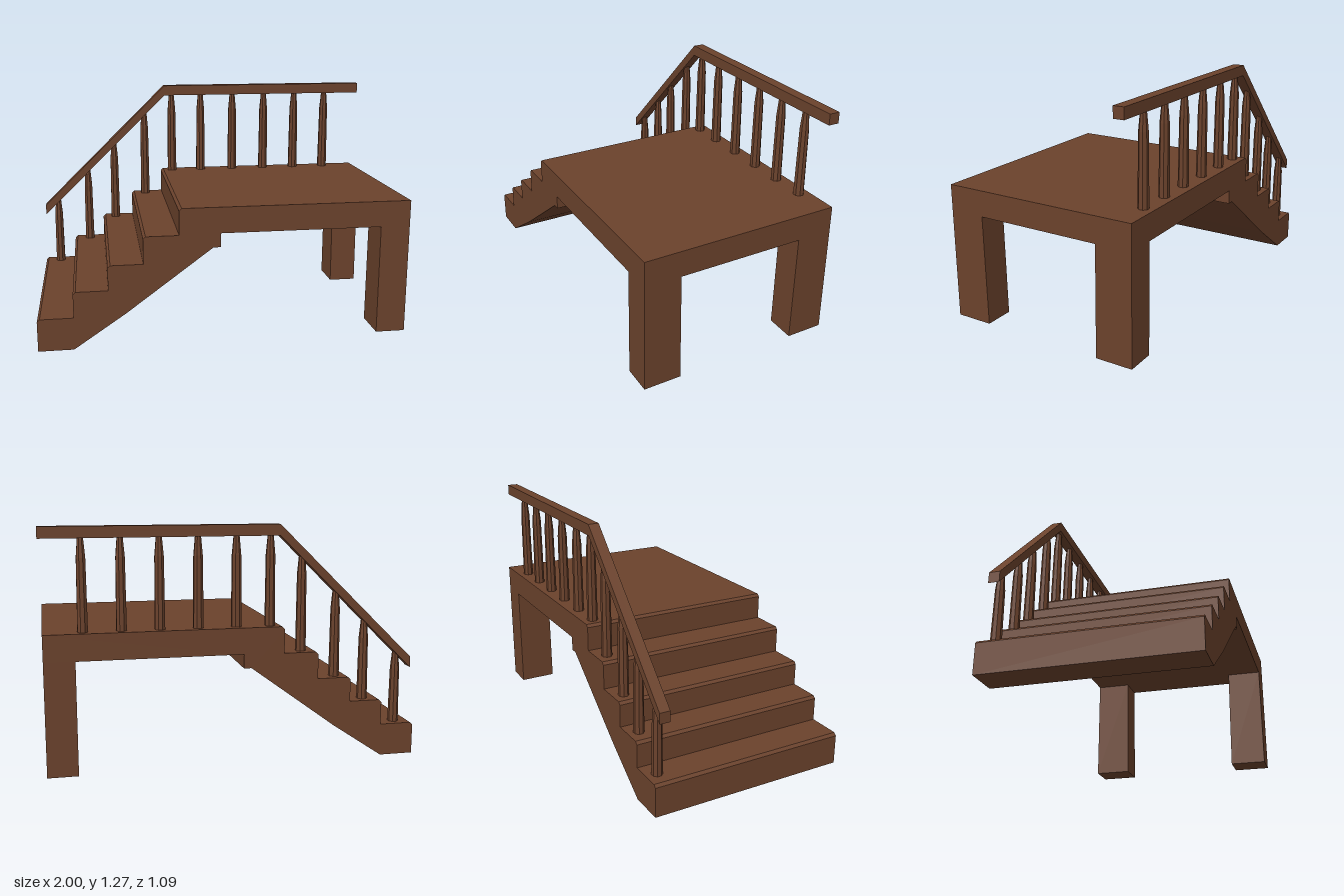
import * as THREE from 'three';

const wood = new THREE.MeshStandardMaterial({ color: 0x6b422c, flatShading: true });
wood.name = 'brown wood';

// Extrude an x-y outline between two z positions
function slab(name, points, z0, z1) {
  const shape = new THREE.Shape(points.map(([x, y]) => new THREE.Vector2(x, y)));
  const geometry = new THREE.ExtrudeGeometry(shape, { depth: z1 - z0, bevelEnabled: false });
  geometry.translate(0, 0, z0);
  const mesh = new THREE.Mesh(geometry, wood);
  mesh.name = name;
  return mesh;
}

export function createModel() {
  const model = new THREE.Group();
  model.name = 'stairPlatform';

  const treads = [0.175, 0.315, 0.45, 0.597, 0.74];
  const risers = [-1, -0.812, -0.63, -0.445, -0.257];
  const bevel = 0.014;

  // Stairs and deck share one outline, with a small chamfer on every nosing
  const outline = [
    [-1, 0], [-0.815, 0], [-0.54, 0.185], [-0.078, 0.525], [-0.038, 0.525],
    [-0.038, 0.6], [0.99, 0.6], [0.99, 0.74],
  ];
  for (let i = 4; i >= 0; i--) {
    outline.push([risers[i] + bevel, treads[i]], [risers[i], treads[i] - bevel]);
    if (i > 0) outline.push([risers[i], treads[i - 1]]);
  }
  model.add(slab('stairsAndDeck', outline, -0.547, 0.547));

  // Two legs under the far end of the deck, slightly wider at the foot
  for (const side of [-1, 1]) {
    const geometry = new THREE.BoxGeometry(0.16, 0.6, 0.2);
    const p = geometry.attributes.position;
    for (let i = 0; i < p.count; i++) {
      if (p.getY(i) < 0 && p.getZ(i) * side < 0) p.setZ(i, p.getZ(i) - side * 0.006);
    }
    const leg = new THREE.Mesh(geometry, wood);
    leg.position.set(0.91, 0.3, side * 0.447);
    leg.name = side > 0 ? 'frontLeg' : 'backLeg';
    model.add(leg);
  }

  // Handrail along the back edge: sloped over the stairs, level over the deck
  model.add(slab('handrail', [
    [-0.985, 0.482], [-0.235, 1.213], [0.998, 1.213],
    [0.998, 1.272], [-0.235, 1.272], [-0.985, 0.54],
  ], -0.517, -0.459));

  // Eight-sided balusters with tapered tops: [x, foot height, top height]
  const balusters = [
    [-0.908, 0.175, 0.575], [-0.719, 0.315, 0.755], [-0.553, 0.45, 0.92], [-0.362, 0.597, 1.11],
    ...[-0.19, -0.008, 0.194, 0.395, 0.592, 0.788].map((x) => [x, 0.74, 1.216]),
  ];
  const railing = new THREE.Group();
  railing.name = 'balusters';
  for (const [x, foot, top] of balusters) {
    const h = top - foot;
    const profile = [[0.0285, 0], [0.025, h - 0.1], [0.016, h]];
    const geometry = new THREE.LatheGeometry(profile.map(([r, y]) => new THREE.Vector2(r, y)), 8);
    geometry.rotateY(Math.PI / 8);
    const post = new THREE.Mesh(geometry, wood);
    post.position.set(x, foot, -0.488);
    post.name = 'baluster';
    railing.add(post);
  }
  model.add(railing);

  return model;
}
